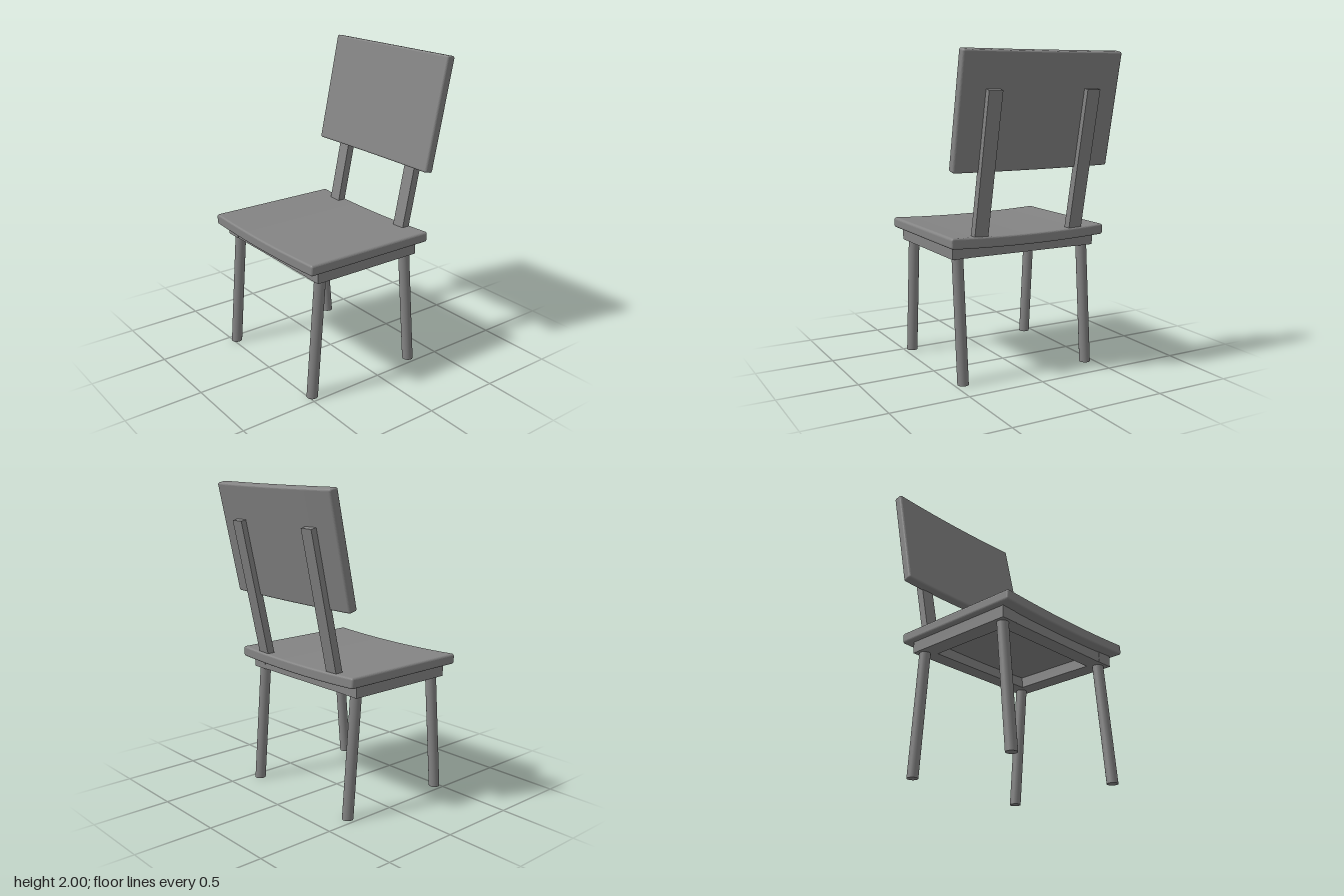
import * as THREE from 'three';
import { toCreasedNormals } from 'three/addons/utils/BufferGeometryUtils.js';

const material = new THREE.MeshStandardMaterial({ color: 0x848484 });
const TILT = 0.21; // backward lean of the backrest

function addMesh(parent, name, geometry, x = 0, y = 0, z = 0) {
  const mesh = new THREE.Mesh(geometry, material);
  mesh.name = name;
  mesh.position.set(x, y, z);
  parent.add(mesh);
  return mesh;
}

// Bowed slab with softened edges: ends rise by sag in y, length runs along z, centred
function bowedPanel(halfWidth, thickness, sag, length) {
  const r = 0.016, bevel = 0.012, steps = 24, cornerSteps = 5;
  const inner = halfWidth - r;
  const rise = (x) => sag * (x / halfWidth) ** 2 - (thickness + sag) / 2;
  const points = [];
  const corner = (x, y, start) => {
    for (let i = 0; i <= cornerSteps; i++) {
      const a = start + (i / cornerSteps) * Math.PI / 2;
      points.push(new THREE.Vector2(x + r * Math.cos(a), y + r * Math.sin(a)));
    }
  };
  const edge = (dir, offset) => {
    for (let i = 1; i < steps; i++) {
      const x = dir * inner * (2 * i / steps - 1);
      points.push(new THREE.Vector2(x, rise(x) + offset));
    }
  };
  edge(1, 0);
  corner(inner, rise(inner) + r, -Math.PI / 2);
  corner(inner, rise(inner) + thickness - r, 0);
  edge(-1, thickness);
  corner(-inner, rise(inner) + thickness - r, Math.PI / 2);
  corner(-inner, rise(inner) + r, Math.PI);

  const geometry = new THREE.ExtrudeGeometry(new THREE.Shape(points), {
    depth: length - 2 * bevel, bevelThickness: bevel, bevelSize: bevel,
    bevelOffset: -bevel, bevelSegments: 4,
  });
  geometry.translate(0, 0, bevel - length / 2);
  return toCreasedNormals(geometry, 0.15);
}

// Round leg slanted along z, with level ends
function slantedLeg(height, radius, shift) {
  const geometry = new THREE.CylinderGeometry(radius, radius, height, 32);
  geometry.translate(0, height / 2, 0);
  const p = geometry.attributes.position;
  for (let i = 0; i < p.count; i++) p.setZ(i, p.getZ(i) + shift * p.getY(i) / height);
  geometry.computeBoundingSphere();
  return geometry;
}

export function createModel() {
  const chair = new THREE.Group();
  chair.name = 'chair';

  // Seat, dished across its width
  addMesh(chair, 'seat', bowedPanel(0.536, 0.067, 0.015, 0.889), 0, 0.873, 0.0905);

  // Backrest, bowed backwards and leaning
  const back = addMesh(chair, 'backrest', bowedPanel(0.536, 0.064, 0.013, 0.711), 0, 1.645, -0.425);
  back.rotation.x = Math.PI / 2 - TILT;

  // Open frame under the seat, cross rails set back a hair between the side rails
  const frame = new THREE.Group();
  frame.name = 'seatFrame';
  chair.add(frame);
  const railY = 0.81, railHeight = 0.076;
  addMesh(frame, 'frontRail', new THREE.BoxGeometry(0.78, railHeight, 0.1), 0, railY, 0.413);
  addMesh(frame, 'backRail', new THREE.BoxGeometry(0.78, railHeight, 0.1), 0, railY, -0.234);

  for (const side of [-1, 1]) {
    const label = side > 0 ? 'left' : 'right';
    addMesh(frame, label + 'Rail', new THREE.BoxGeometry(0.11, railHeight, 0.753), side * 0.445, railY, 0.0895);

    // Legs splay outwards to front and back
    addMesh(chair, label + 'FrontLeg', slantedLeg(0.79, 0.035, -0.065), side * 0.445, 0, 0.475);
    addMesh(chair, label + 'BackLeg', slantedLeg(0.79, 0.035, 0.065), side * 0.445, 0, -0.305);

    // Upright slats carrying the backrest
    const support = addMesh(chair, label + 'BackSupport', new THREE.BoxGeometry(0.09, 0.92, 0.05), side * 0.332, 1.32, -0.402);
    support.rotation.x = -TILT;
  }
  return chair;
}
